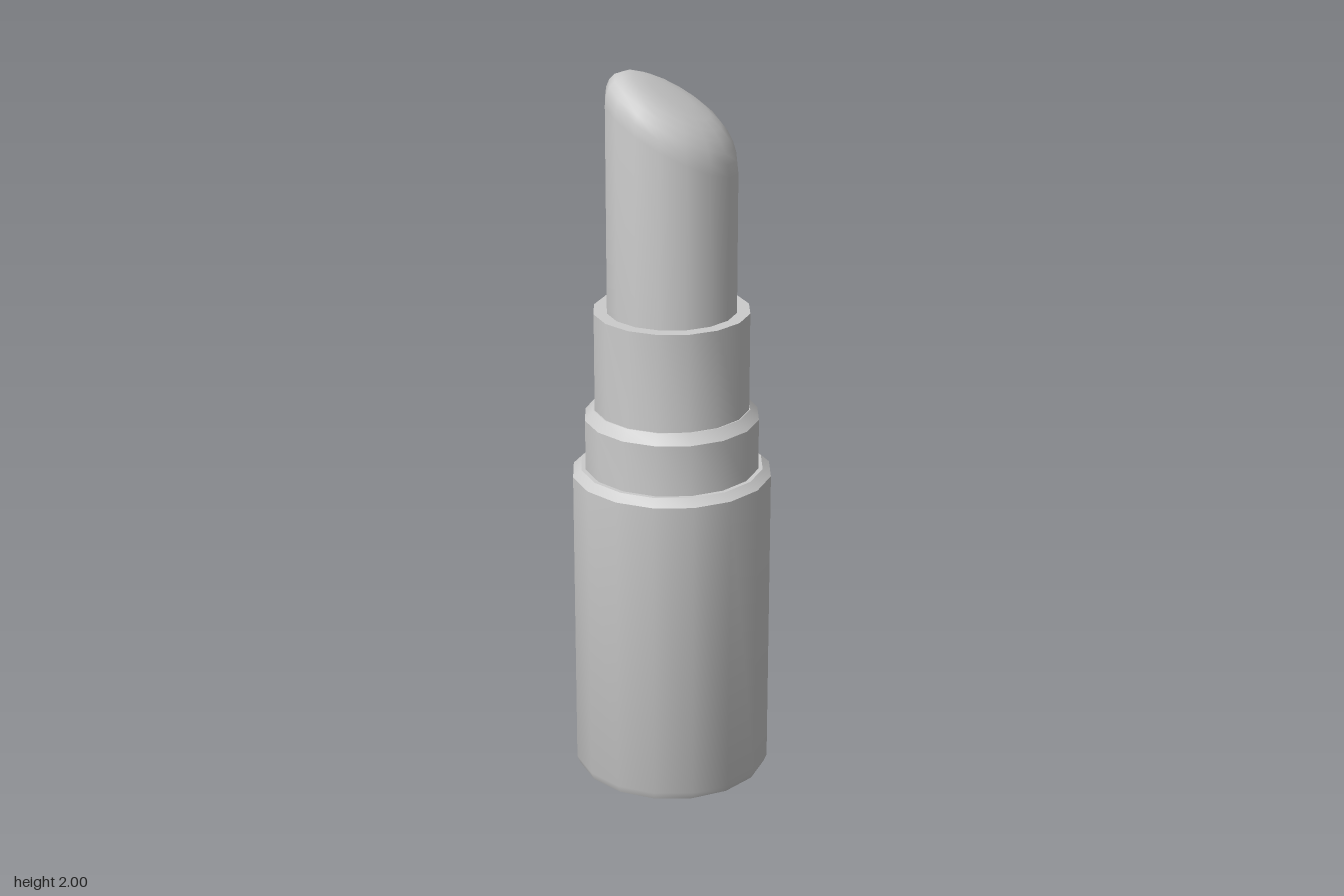
import * as THREE from 'three';
import { toCreasedNormals } from 'three/addons/utils/BufferGeometryUtils.js';

const SIDES = 16;
const material = new THREE.MeshStandardMaterial({ color: 0xcccccc });

// Turned part from [radius, height] pairs, listed bottom to top
function turned(profile) {
  return new THREE.LatheGeometry(profile.map(([r, y]) => new THREE.Vector2(r, y)), SIDES);
}

function part(name, geometry, crease = 0.6) {
  const mesh = new THREE.Mesh(toCreasedNormals(geometry, crease), material);
  mesh.name = name;
  return mesh;
}

// Slanted stick: a cylinder whose rim leans down towards +x, closed by a flattened dome
function stickGeometry() {
  const radius = 0.177, base = 1.33, rim = 1.835, slope = -0.53, domeHeight = 0.112;
  const profile = [[radius, base]];
  for (const u of [1, 0.98, 0.93, 0.85, 0.74, 0.58, 0.32, 0]) {
    profile.push([radius * u, rim + domeHeight * Math.sqrt(1 - u ** 4)]);
  }
  const geometry = turned(profile);
  const p = geometry.attributes.position;
  for (let i = 0; i < p.count; i++) {
    if (p.getY(i) > base + 0.01) p.setY(i, p.getY(i) + slope * p.getX(i));
  }
  return geometry;
}

export function createModel() {
  const group = new THREE.Group();
  group.name = 'lipstick';

  // Base with a rounded foot and a bevelled shoulder
  group.add(part('base', turned([
    [0, 0], [0.247, 0], [0.266, 0.01], [0.275, 0.032], [0.275, 0.892], [0.252, 0.912], [0, 0.912],
  ])));

  // Middle ring with a bevelled top
  group.add(part('middleRing', turned([
    [0.24, 0.905], [0.24, 1.055], [0.216, 1.083], [0, 1.083],
  ])));

  // Inner sleeve
  group.add(part('sleeve', turned([
    [0.213, 1.075], [0.213, 1.357], [0, 1.357],
  ])));

  group.add(part('stick', stickGeometry(), 0.95));
  return group;
}
